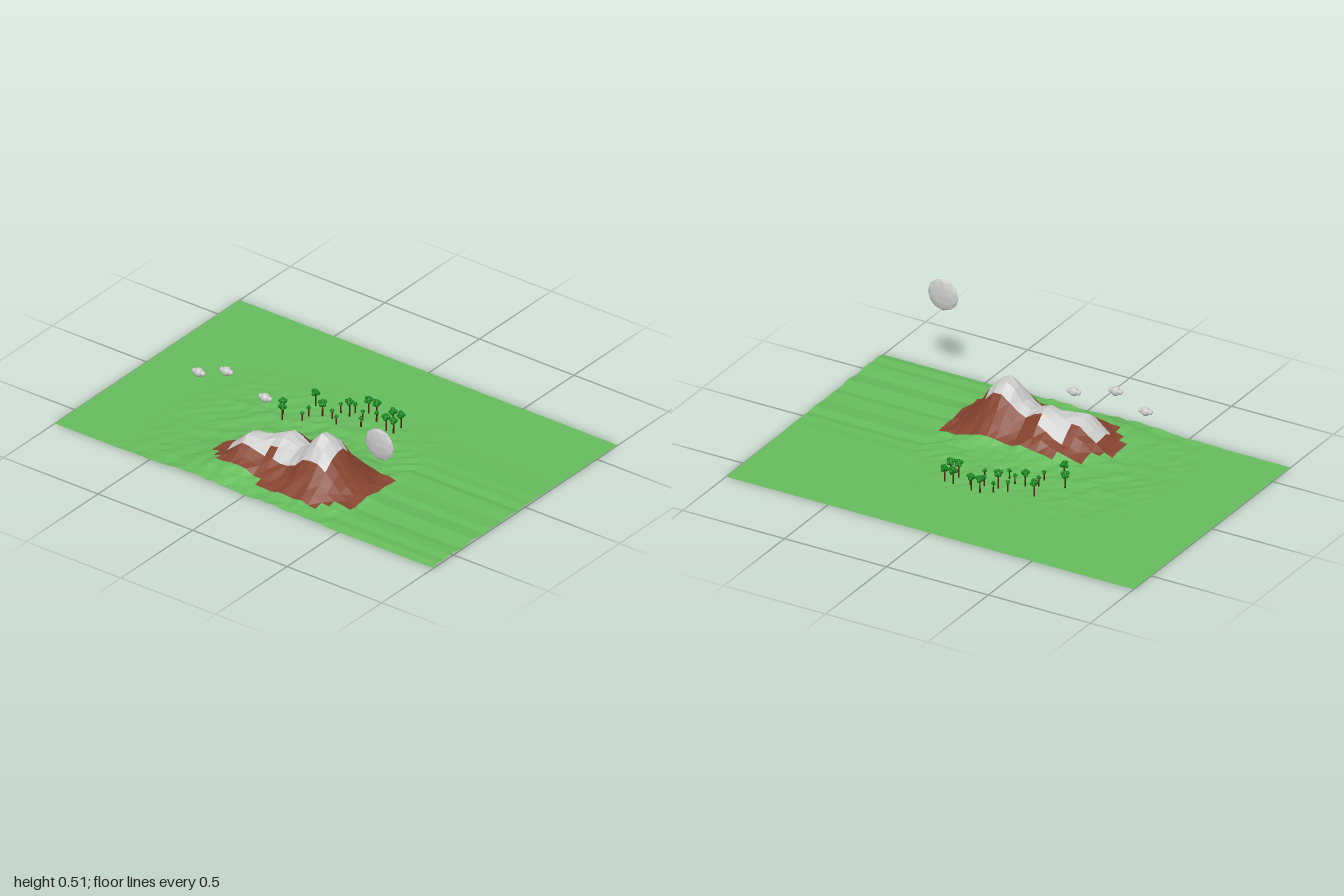
import * as THREE from 'three';
import { mergeGeometries } from 'three/addons/utils/BufferGeometryUtils.js';

const material = (color, side = THREE.FrontSide) =>
  new THREE.MeshStandardMaterial({ color, side, flatShading: true });

const HALF_X = 0.645, COLS = 32, ROWS = 50;

// Peaks: x, z, height, spread in x, spread in z
const PEAKS = [
  [-0.35, 0.21, 0.237, 0.097, 0.092],
  [-0.33, 0.0, 0.16, 0.1, 0.075],
  [-0.38, -0.14, 0.133, 0.095, 0.075],
  [-0.54, -0.2, 0.035, 0.06, 0.1],
];

// Footprints as bands: z from, z to, x from, x to
const ROCK = [
  [-0.33, -0.29, -0.44, -0.34], [-0.29, -0.25, -0.49, -0.27],
  [-0.25, -0.1, -0.54, -0.22], [-0.1, -0.02, -0.54, -0.15],
  [-0.02, 0.33, -0.57, -0.15], [0.33, 0.37, -0.53, -0.15], [0.37, 0.42, -0.49, -0.15],
];
const SNOW = [
  [-0.22, -0.06, -0.45, -0.32], [-0.1, 0.02, -0.41, -0.25],
  [0.0, 0.28, -0.44, -0.275],
];
const inside = (bands, x, z) =>
  bands.some(([z0, z1, x0, x1]) => z >= z0 && z < z1 && x >= x0 && x < x1);

const noise = (i, j) => {
  const s = Math.sin(i * 12.9898 + j * 78.233) * 43758.5453;
  return s - Math.floor(s);
};

// Height of the land; toward the front the rough ground runs out in long furrows
function height(i, j) {
  const x = -HALF_X + (i / COLS) * 2 * HALF_X;
  const z = -1 + (j / ROWS) * 2;
  const sum = PEAKS.reduce((s, [px, pz, h, sx, sz]) => {
    const g = h * Math.exp(-((x - px) ** 2) / (2 * sx * sx) - ((z - pz) ** 2) / (2 * sz * sz));
    return s + g * g;
  }, 0);
  const fade = (1 - THREE.MathUtils.smoothstep(x, -0.1, 0.35)) * THREE.MathUtils.smoothstep(z, -0.75, -0.35);
  const rough = (noise(i, Math.min(j, 36)) - 0.35) * 0.014 * fade;
  return Math.max(0, 0.01 + 0.003 * fade + rough + Math.sqrt(sum));
}

// Terrain split into grass, rock and snow cells
function buildLand() {
  const land = new THREE.Group();
  land.name = 'land';
  const cells = { grass: [], rock: [], snow: [] };
  const point = (i, j) => [-HALF_X + (i / COLS) * 2 * HALF_X, height(i, j), -1 + (j / ROWS) * 2];
  for (let i = 0; i < COLS; i++) {
    for (let j = 0; j < ROWS; j++) {
      const x = -HALF_X + ((i + 0.5) / COLS) * 2 * HALF_X;
      const z = -1 + ((j + 0.5) / ROWS) * 2;
      const kind = inside(SNOW, x, z) ? 'snow' : inside(ROCK, x, z) ? 'rock' : 'grass';
      const a = point(i, j), b = point(i, j + 1), c = point(i + 1, j + 1), d = point(i + 1, j);
      cells[kind].push(...a, ...b, ...c, ...a, ...c, ...d);
    }
  }
  const colors = { grass: 0x66bb5c, rock: 0x85432e, snow: 0xcccccc };
  for (const kind of Object.keys(cells)) {
    const geo = new THREE.BufferGeometry();
    geo.setAttribute('position', new THREE.Float32BufferAttribute(cells[kind], 3));
    geo.computeVertexNormals();
    const mesh = new THREE.Mesh(geo, material(colors[kind], THREE.DoubleSide));
    mesh.name = kind;
    land.add(mesh);
  }
  return land;
}

// Trees: x, z, height of the crown's centre
const TREES = [
  [-0.055, -0.243, 0.086], [0.0, -0.28, 0.072], [0.08, -0.132, 0.077], [0.135, -0.21, 0.076],
  [0.15, -0.042, 0.083], [0.222, 0.005, 0.075], [0.222, 0.048, 0.074], [0.148, 0.153, 0.078],
  [0.21, 0.143, 0.074], [0.21, 0.185, 0.072], [0.148, 0.192, 0.075],
];
const SAPLINGS = [
  [-0.005, -0.175], [0.048, -0.18], [0.058, -0.042], [0.085, -0.085], [0.111, 0.048],
  [0.153, -0.09], [0.159, 0.021], [0.185, 0.074], [0.19, -0.042],
];

// Crown: a core with smaller lumps around it
function crownGeometry() {
  const parts = [new THREE.IcosahedronGeometry(0.015, 1)];
  for (let k = 0; k < 5; k++) {
    const a = (k / 5) * Math.PI * 2;
    parts.push(new THREE.IcosahedronGeometry(0.009, 1)
      .translate(Math.cos(a) * 0.012, k % 2 ? 0.006 : -0.004, Math.sin(a) * 0.012));
  }
  parts.push(new THREE.IcosahedronGeometry(0.01, 1).translate(0, 0.01, 0));
  return mergeGeometries(parts);
}

function buildTrees() {
  const grove = new THREE.Group();
  grove.name = 'grove';
  const crownGeo = crownGeometry();
  const leaf = material(0x0f8016), bark = material(0x4a2412);
  const plant = (x, z, y, size, name) => {
    const tree = new THREE.Group();
    tree.name = name;
    const crown = new THREE.Mesh(crownGeo, leaf);
    crown.name = 'crown';
    crown.position.y = y;
    crown.scale.setScalar(size);
    crown.rotation.y = x * 40;
    const trunk = new THREE.Mesh(new THREE.CylinderGeometry(0.003, 0.004, y - 0.008, 6), bark);
    trunk.name = 'trunk';
    trunk.position.y = (y + 0.008) / 2;
    tree.add(crown, trunk);
    tree.position.set(x, 0, z);
    grove.add(tree);
  };
  TREES.forEach(([x, z, y]) => plant(x, z, y, 0.95, 'tree'));
  SAPLINGS.forEach(([x, z]) => plant(x, z, 0.054, 0.5, 'sapling'));
  return grove;
}

function buildSky() {
  const sky = new THREE.Group();
  sky.name = 'sky';
  const grey = material(0xcccccc);

  // Flat round disc standing upright, facing sideways
  const disc = new THREE.Mesh(new THREE.IcosahedronGeometry(0.075, 1), grey);
  disc.name = 'disc';
  disc.scale.set(0.24, 1, 1);
  disc.position.set(-0.54, 0.44, 0.64);
  sky.add(disc);

  // Small clouds: a round middle with a puff at each end
  const cloudGeo = mergeGeometries([
    new THREE.IcosahedronGeometry(0.021, 1),
    ...[-1, 1].map((s) => new THREE.IcosahedronGeometry(0.012, 1).translate(0, 0, s * 0.022)),
  ]);
  for (const [y, z] of [[0.288, -0.135], [0.345, -0.34], [0.288, -0.487]]) {
    const cloud = new THREE.Mesh(cloudGeo, grey);
    cloud.name = 'cloud';
    cloud.position.set(-0.315, y, z);
    sky.add(cloud);
  }
  return sky;
}

export function createModel() {
  const model = new THREE.Group();
  model.name = 'landscape';
  model.add(buildLand(), buildTrees(), buildSky());
  return model;
}
